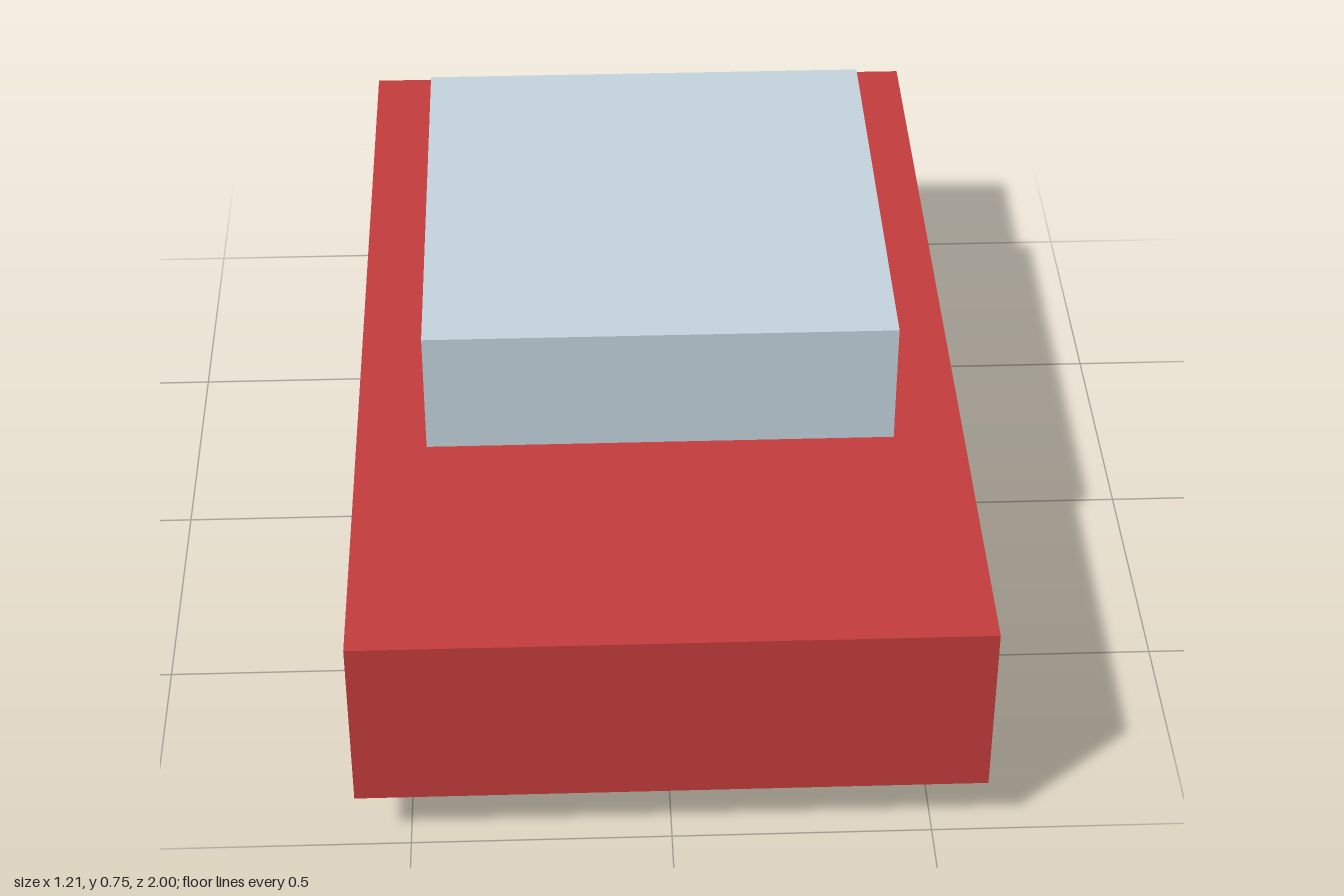
import * as THREE from 'three';

const paint = (color) => new THREE.MeshStandardMaterial({ color });

export function createModel() {
  const car = new THREE.Group();
  car.name = 'car';

  const add = (name, geometry, material, x, y, z) => {
    const mesh = new THREE.Mesh(geometry, material);
    mesh.name = name;
    mesh.position.set(x, y, z);
    car.add(mesh);
  };

  // Body slab and the cabin standing on it
  add('body', new THREE.BoxGeometry(1.205, 0.37, 2), paint(0xc43c3c), 0, 0.305, 0);
  add('cabin', new THREE.BoxGeometry(0.926, 0.26, 0.976), paint(0xc4d3de), 0, 0.62, -0.093);

  // Four wheels, partly sunk into the body
  const radius = 0.157;
  const wheel = new THREE.CylinderGeometry(radius, radius, 0.13, 32).rotateZ(Math.PI / 2);
  const rubber = paint(0x24282c);
  for (const [side, sx] of [['Left', 1], ['Right', -1]]) {
    for (const [end, sz] of [['front', 1], ['back', -1]]) {
      add(`${end}${side}Wheel`, wheel, rubber, sx * 0.487, radius, sz * 0.675);
    }
  }
  return car;
}
